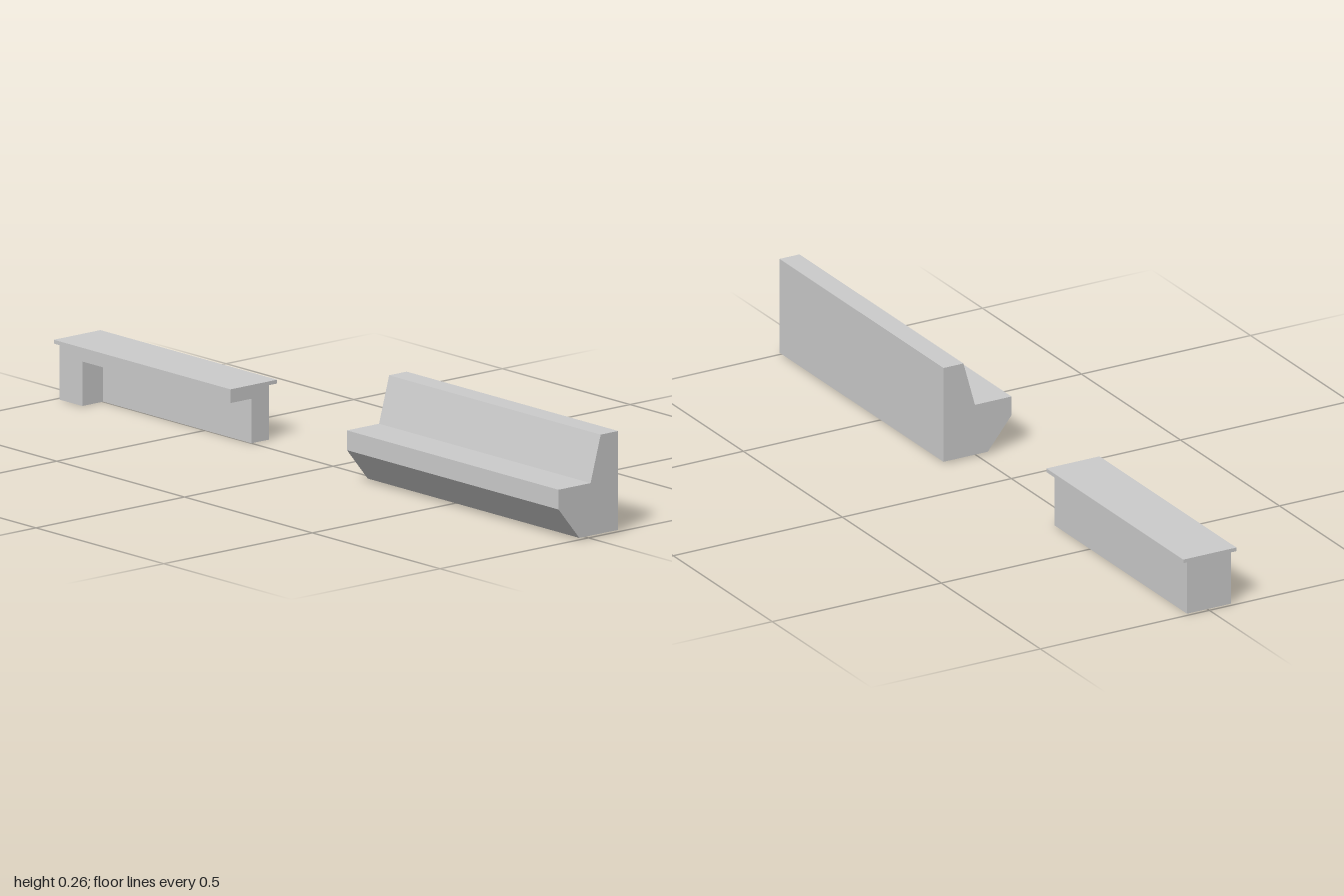
import * as THREE from 'three';

const material = new THREE.MeshStandardMaterial({ color: 0xcccccc, flatShading: true, side: THREE.DoubleSide });

// Removes the faces that point straight down (and straight up if asked), leaving a hollow shell
function openShell(source, openTop = false) {
  const geo = source.index ? source.toNonIndexed() : source;
  const pos = geo.attributes.position, nor = geo.attributes.normal;
  const points = [];
  for (let i = 0; i < pos.count; i += 3) {
    const ny = nor.getY(i);
    if (ny < -0.99 || (openTop && ny > 0.99)) continue;
    for (let k = i; k < i + 3; k++) points.push(pos.getX(k), pos.getY(k), pos.getZ(k));
  }
  const shell = new THREE.BufferGeometry();
  shell.setAttribute('position', new THREE.Float32BufferAttribute(points, 3));
  shell.computeVertexNormals();
  return shell;
}

function extrude(points, depth) {
  const shape = new THREE.Shape(points.map(([x, y]) => new THREE.Vector2(x, y)));
  return new THREE.ExtrudeGeometry(shape, { depth, bevelEnabled: false });
}

// Box given by its limits on each axis
function box(x0, x1, y0, y1, z0, z1) {
  return new THREE.BoxGeometry(x1 - x0, y1 - y0, z1 - z0)
    .translate((x0 + x1) / 2, (y0 + y1) / 2, (z0 + z1) / 2);
}

function add(group, name, geometry) {
  const mesh = new THREE.Mesh(geometry, material);
  mesh.name = name;
  group.add(mesh);
}

export function createModel() {
  const model = new THREE.Group();
  model.name = 'counterAndBench';

  // Counter: L-shaped base, open below, with a recess at the front
  const counter = new THREE.Group();
  counter.name = 'counter';
  const left = -0.99, legInner = -0.9, right = -0.32;
  const front = 0.07, recess = 0, back = -0.06, beamY = 0.117;
  const plan = [[left, front], [legInner, front], [legInner, recess], [right, recess], [right, back], [left, back]]
    .map(([x, z]) => [x, -z]);
  add(counter, 'counterBase', openShell(extrude(plan, beamY).rotateX(-Math.PI / 2), true));
  add(counter, 'counterBeam', openShell(box(left, right, beamY, 0.147, back, front)));
  add(counter, 'recessCeiling', new THREE.PlaneGeometry(right - legInner, front - recess)
    .rotateX(Math.PI / 2)
    .translate((right + legInner) / 2, beamY, (front + recess) / 2));
  add(counter, 'counterTop', box(-1, -0.308, 0.147, 0.157, -0.077, 0.08));
  model.add(counter);

  // Bench: side profile (z, y) run along x, open below
  const profile = [[-0.1, 0.005], [-0.1, 0.265], [-0.041, 0.265], [-0.007, 0.143],
    [0.101, 0.143], [0.101, 0.091], [0.031, 0.005]].map(([z, y]) => [-z, y]);
  add(model, 'bench', openShell(extrude(profile, 0.828).rotateY(Math.PI / 2).translate(0.172, 0, 0)));

  return model;
}
